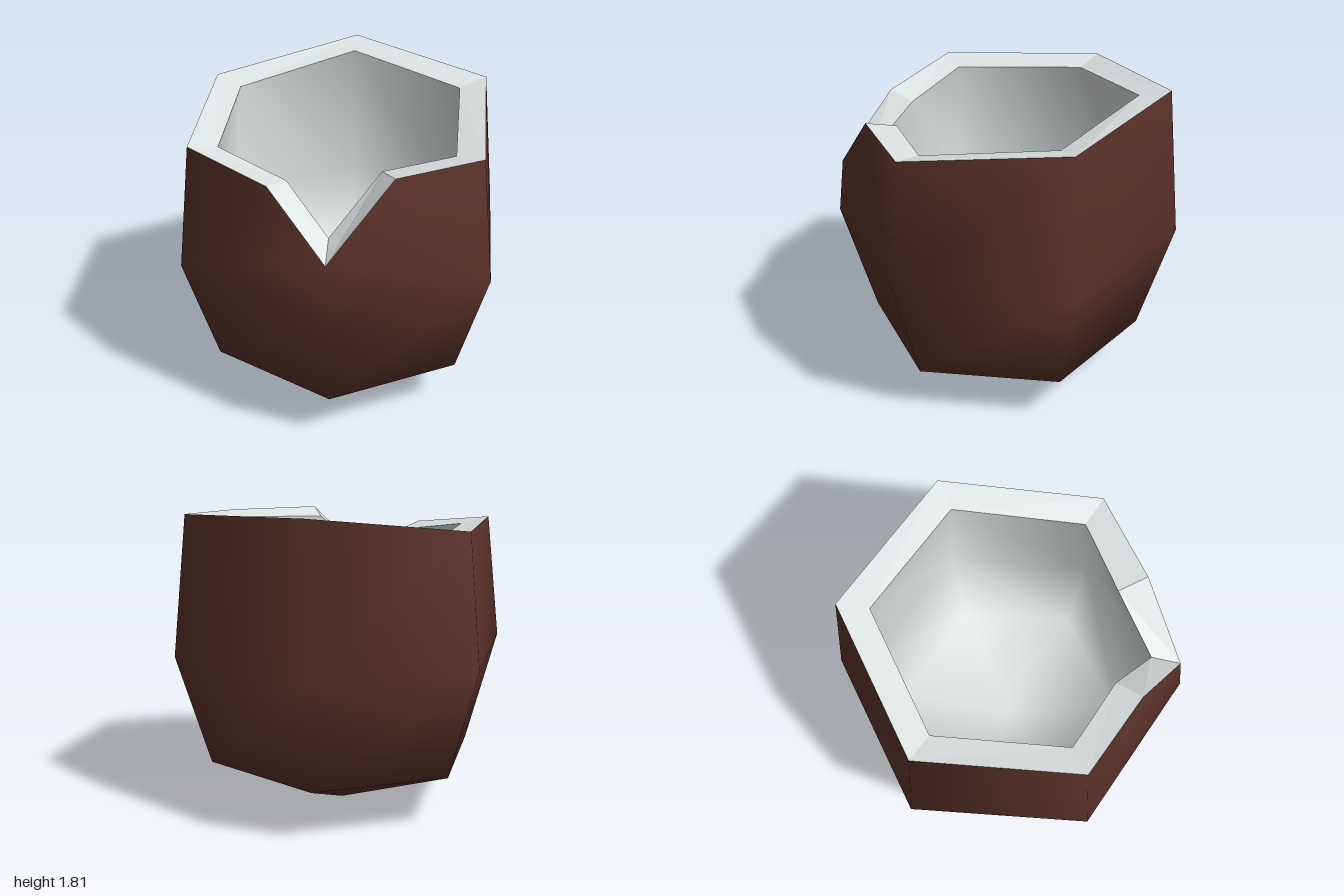
import * as THREE from 'three';

const husk = new THREE.MeshStandardMaterial({ color: 0x5d342b });
husk.name = 'brown husk';
const flesh = new THREE.MeshStandardMaterial({ color: 0xdfe4e4 });
flesh.name = 'white flesh';

// Rim points in order around the bowl; the middle three of the first five form the chipped notch
const outerRim = [
  [0.92, 1.755, 0], [0.46, 1.67, 0.8],
  [-0.07, 1.67, 0.8], [-0.48, 1.27, 0.835], [-0.65, 1.595, 0.47],
  [-0.92, 1.67, 0], [-0.46, 1.705, -0.8], [0.46, 1.81, -0.8],
];
const innerRim = [
  [0.745, 1.715, 0], [0.372, 1.64, 0.645],
  [-0.06, 1.63, 0.625], [-0.395, 1.34, 0.685], [-0.505, 1.56, 0.385],
  [-0.745, 1.635, 0], [-0.372, 1.67, -0.645], [0.372, 1.775, -0.645],
];
// Rim points along each of the six sides
const sides = [[0, 1], [1, 2, 3], [3, 4, 5], [5, 6], [6, 7], [7, 0]];

function hexRing(r, y) {
  return Array.from({ length: 6 }, (_, k) => {
    const a = (k * Math.PI) / 3;
    return [r * Math.cos(a), y, r * Math.sin(a)];
  });
}

// Smooth six-sided shell: apex, low ring, belly ring, rim
function shell(apexY, [lowR, lowY], [bellyR, bellyY], rim, inward) {
  const points = [[0, apexY, 0], ...hexRing(lowR, lowY), ...hexRing(bellyR, bellyY), ...rim];
  const index = [];
  const tri = (a, b, c) => index.push(...(inward ? [a, c, b] : [a, b, c]));
  sides.forEach((side, k) => {
    const n = (k + 1) % 6;
    const a = 7 + k, b = 7 + n;
    const top = side.map((i) => 13 + i);
    tri(0, 1 + k, 1 + n);
    tri(1 + k, a, 1 + n);
    tri(1 + n, a, b);
    // Fan from the corner away from the notch
    if (k === 1) tri(a, top[top.length - 1], b);
    else tri(b, a, top[0]);
    for (let i = 0; i < top.length - 1; i++) tri(k === 1 ? a : b, top[i], top[i + 1]);
  });
  const g = new THREE.BufferGeometry();
  g.setAttribute('position', new THREE.Float32BufferAttribute(points.flat(), 3));
  g.setIndex(index);
  g.computeVertexNormals();
  return g;
}

// Flat-faced band joining the outer and inner edges, including the notch walls
function rimBand() {
  const points = [];
  outerRim.forEach((o, i) => {
    const j = (i + 1) % outerRim.length;
    points.push(o, innerRim[i], outerRim[j], outerRim[j], innerRim[i], innerRim[j]);
  });
  const g = new THREE.BufferGeometry();
  g.setAttribute('position', new THREE.Float32BufferAttribute(points.flat(), 3));
  g.computeVertexNormals();
  return g;
}

export function createModel() {
  const group = new THREE.Group();
  group.name = 'brokenShellBowl';
  const add = (name, geometry, material) => {
    const mesh = new THREE.Mesh(geometry, material);
    mesh.name = name;
    group.add(mesh);
  };
  add('outerHusk', shell(0, [0.8, 0.3], [1, 0.945], outerRim, false), husk);
  add('innerFlesh', shell(0.2, [0.66, 0.42], [0.82, 0.945], innerRim, true), flesh);
  add('brokenRim', rimBand(), flesh);
  return group;
}
